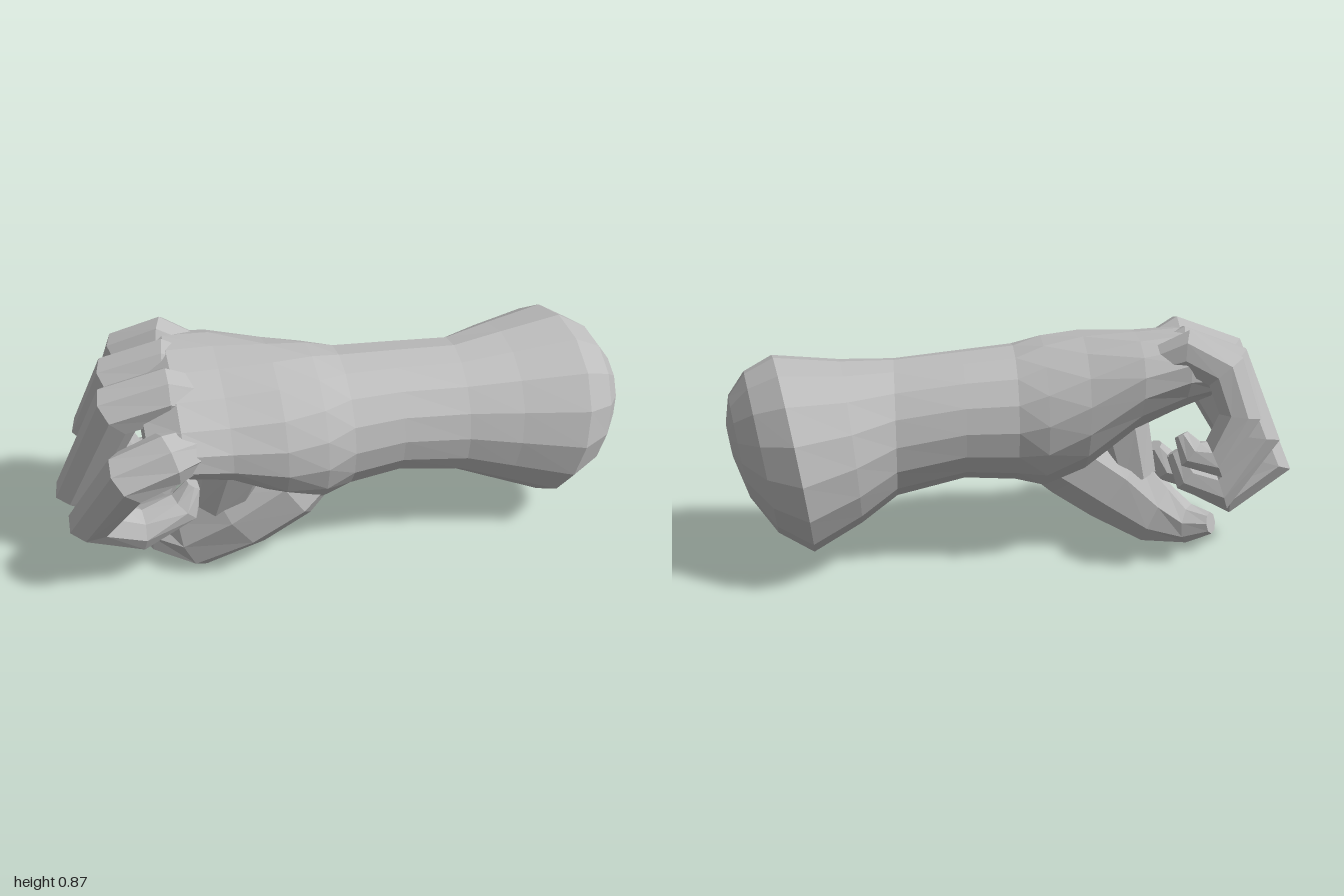
import * as THREE from 'three';

const V = (a) => new THREE.Vector3(...a);

// Closed skin over a list of rings (each an array of Vector3), capped at both ends
function skin(rings, material, name) {
  const n = rings[0].length, pos = [], idx = [];
  const mid = (r) => r.reduce((s, p) => s.add(p), new THREE.Vector3()).divideScalar(n);
  rings.forEach((r) => r.forEach((p) => pos.push(p.x, p.y, p.z)));
  const last = (rings.length - 1) * n, first = rings.length * n;
  [mid(rings[0]), mid(rings[rings.length - 1])].forEach((p) => pos.push(p.x, p.y, p.z));
  for (let j = 0; j < n; j++) {
    const k = (j + 1) % n;
    for (let i = 0; i < rings.length - 1; i++) {
      const a = i * n + j, b = i * n + k, c = a + n, d = b + n;
      idx.push(a, b, d, a, d, c);
    }
    idx.push(first, k, j, first + 1, last + j, last + k);
  }
  const g = new THREE.BufferGeometry();
  g.setAttribute('position', new THREE.Float32BufferAttribute(pos, 3));
  g.setIndex(idx);
  g.computeVertexNormals();
  const mesh = new THREE.Mesh(g, material);
  mesh.name = name;
  return mesh;
}

// Arm ring: x, centre y/z, half height, half depth, tilt in degrees, lean of the ring
function armRing([x, cy, cz, ry, rz, tilt = 0, lean = 0], sides = 16) {
  const t = THREE.MathUtils.degToRad(tilt);
  return Array.from({ length: sides }, (_, j) => {
    const a = -(j / sides) * Math.PI * 2;
    const v = Math.cos(a) * ry, u = Math.sin(a) * rz;
    const y = v * Math.cos(t) - u * Math.sin(t), z = v * Math.sin(t) + u * Math.cos(t);
    return new THREE.Vector3(x + lean * (0.14 * y + 0.15 * z), cy + y, cz + z);
  });
}

// Jointed digit: points along the bones, [half width, half thickness] at each
function digit(points, sizes, normal, material, name, sides = 8) {
  const p = points.map(V);
  const dir = p.slice(1).map((q, i) => q.clone().sub(p[i]).normalize());
  const rings = p.map((c, i) => {
    const d0 = dir[Math.max(i - 1, 0)], d1 = dir[Math.min(i, dir.length - 1)];
    const t = d0.clone().add(d1).normalize();
    const n = normal.clone().addScaledVector(t, -normal.dot(t)).normalize();
    const b = t.clone().cross(n);
    const mitre = Math.min(1.2, 1 / Math.max(0.1, t.dot(d1)));
    return Array.from({ length: sides }, (_, j) => {
      const a = ((j + 0.5) / sides) * Math.PI * 2;
      return c.clone().addScaledVector(n, Math.cos(a) * sizes[i][0])
        .addScaledVector(b, Math.sin(a) * sizes[i][1] * mitre);
    });
  });
  return skin(rings, material, name);
}

export function createModel() {
  const group = new THREE.Group();
  const grey = new THREE.MeshStandardMaterial({ color: 0xbcbcbc, flatShading: true });
  grey.name = 'grey';

  // Rounded elbow end, forearm, wrist and palm
  const sections = [
    [0.998, 0.47, -0.02, 0.06, 0.06, 0, 1],
    [0.965, 0.45, -0.03, 0.18, 0.18, 0, 1],
    [0.89, 0.43, -0.04, 0.285, 0.28, 0, 1],
    [0.78, 0.425, -0.05, 0.347, 0.345, 0, 1],
    [0.58, 0.457, -0.03, 0.29, 0.285, 0, 0.6],
    [0.42, 0.492, 0.005, 0.245, 0.23],
    [0.18, 0.53, 0.015, 0.227, 0.235],
    [0, 0.53, 0.025, 0.242, 0.25],
    [-0.1, 0.53, 0.027, 0.27, 0.28, 6],
    [-0.24, 0.565, 0.027, 0.25, 0.295, 12],
    [-0.42, 0.635, 0.015, 0.18, 0.3, 18],
    [-0.58, 0.67, 0.03, 0.15, 0.3, 18],
    [-0.69, 0.65, 0.03, 0.09, 0.26, 18],
  ];
  group.add(skin(sections.map((s) => armRing(s)), grey, 'forearmAndPalm'));

  // Curled fingers: hand back, knuckle, knuckle end, middle joint, last joint, pad, tip
  const fingers = {
    indexFinger: [[-0.4, 0.6, 0.14], [-0.63, 0.625, 0.28], [-0.76, 0.57, 0.275], [-0.885, 0.32, 0.14], [-0.73, 0.225, 0.11], [-0.57, 0.28, 0.09], [-0.53, 0.36, 0.08]],
    middleFinger: [[-0.36, 0.66, 0.05], [-0.6, 0.755, 0.1], [-0.765, 0.7, 0.07], [-0.915, 0.33, -0.05], [-0.77, 0.225, -0.06], [-0.63, 0.29, -0.05], [-0.58, 0.37, -0.03]],
    ringFinger: [[-0.36, 0.68, -0.05], [-0.59, 0.765, -0.07], [-0.745, 0.71, -0.1], [-0.83, 0.48, -0.19], [-0.71, 0.3, -0.2], [-0.6, 0.34, -0.18], [-0.56, 0.42, -0.15]],
    littleFinger: [[-0.34, 0.69, -0.13], [-0.58, 0.795, -0.19], [-0.7, 0.735, -0.24], [-0.745, 0.59, -0.285], [-0.66, 0.44, -0.295], [-0.58, 0.46, -0.285], [-0.55, 0.52, -0.26]],
  };
  const thickness = [[0.06, 0.05], [0.092, 0.085], [0.095, 0.085], [0.088, 0.08], [0.078, 0.07], [0.065, 0.058], [0.035, 0.03]];
  for (const [name, path] of Object.entries(fingers)) {
    const [, a, , b, c] = path.map(V);
    const normal = b.clone().sub(a).cross(c.clone().sub(b)).normalize();
    const s = name === 'littleFinger' ? 0.85 : 1;
    group.add(digit(path, thickness.map((r) => r.map((v) => v * s)), normal, grey, name));
  }

  // Thumb folded beneath the palm, with a broad base
  group.add(digit(
    [[-0.02, 0.45, 0.04], [-0.22, 0.34, 0.09], [-0.38, 0.225, 0.08], [-0.54, 0.105, 0.05], [-0.65, 0.085, -0.02], [-0.72, 0.105, -0.07]],
    [[0.13, 0.11], [0.17, 0.16], [0.15, 0.155], [0.105, 0.115], [0.075, 0.07], [0.04, 0.04]],
    new THREE.Vector3(0, 0, 1), grey, 'thumb'));

  // Web of skin between thumb and first knuckle
  group.add(digit(
    [[-0.28, 0.6, 0.07], [-0.39, 0.45, 0.09], [-0.44, 0.25, 0.07]],
    [[0.16, 0.14], [0.15, 0.12], [0.1, 0.1]],
    new THREE.Vector3(0, 0, 1), grey, 'thumbWeb'));

  return group;
}
